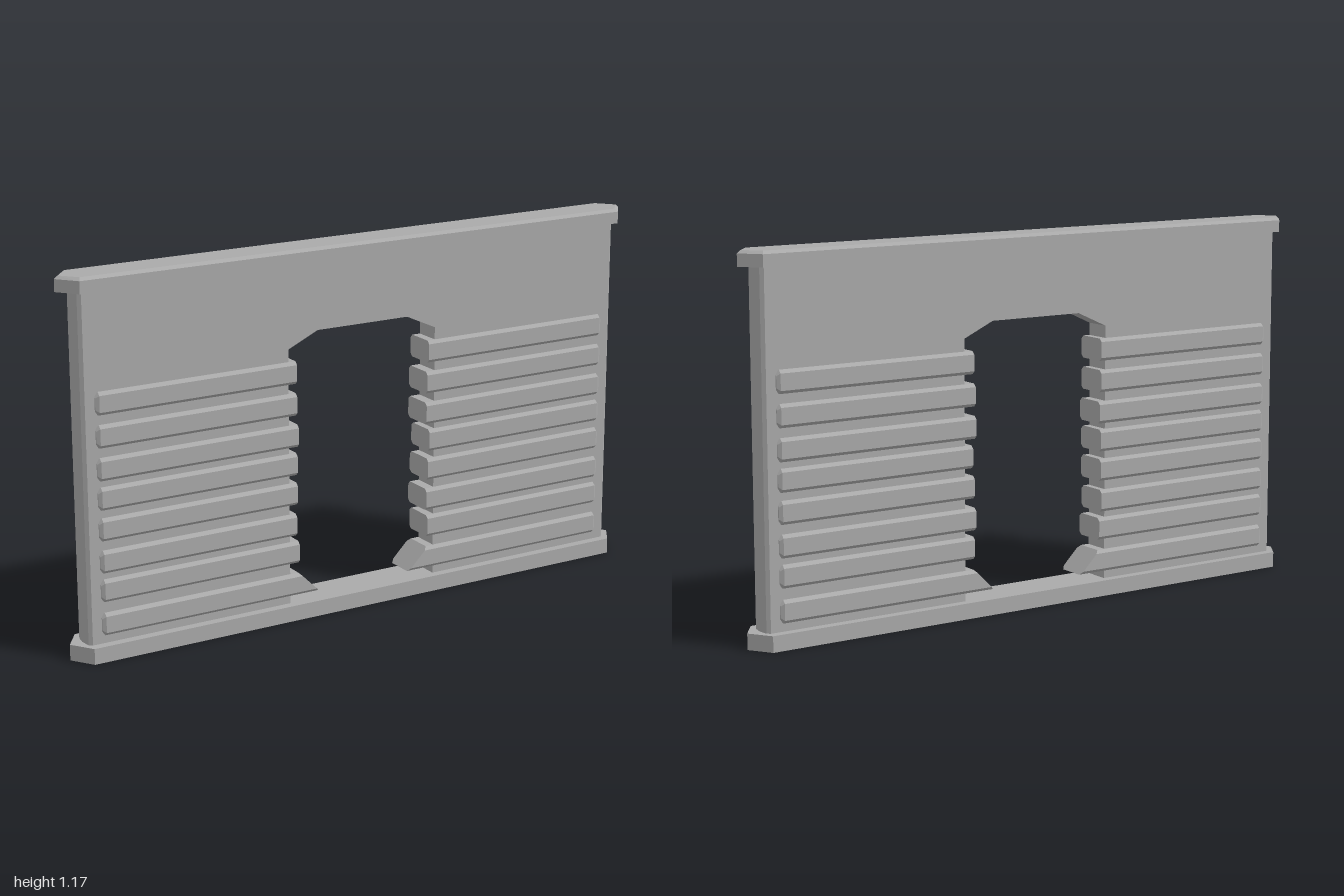
import * as THREE from 'three';

// Closed flat-faced solid through convex rings of [x, y, z] points
function loft(rings) {
  const tris = [];
  const n = rings[0].length;
  for (let r = 0; r < rings.length - 1; r++) {
    for (let i = 0; i < n; i++) {
      const j = (i + 1) % n;
      const a = rings[r][i], b = rings[r][j], c = rings[r + 1][j], d = rings[r + 1][i];
      tris.push([a, b, c], [a, c, d]);
    }
  }
  const first = rings[0], last = rings[rings.length - 1];
  for (let i = 1; i < n - 1; i++) {
    tris.push([first[0], first[i + 1], first[i]], [last[0], last[i], last[i + 1]]);
  }
  // Turn the faces outward when the rings run the other way
  let volume = 0;
  const v = tris.map((t) => t.map((p) => new THREE.Vector3(...p)));
  for (const [a, b, c] of v) volume += a.dot(b.clone().cross(c));
  if (volume < 0) tris.forEach((t) => t.reverse());

  const geometry = new THREE.BufferGeometry();
  geometry.setAttribute('position', new THREE.Float32BufferAttribute(tris.flat(2), 3));
  geometry.computeVertexNormals();
  return geometry;
}

// Long hexagon in plan, pointed at both ends
function hexRing(y, tip, flat, depth) {
  return [[tip, y, 0], [flat, y, depth], [-flat, y, depth], [-tip, y, 0], [-flat, y, -depth], [flat, y, -depth]];
}

// Plank section with chamfered corners; xAt gives the end position for each height
function plankRing(xAt, y0, y1, depth, inset) {
  const b = 0.01;
  const lo = y0 + inset, hi = y1 - inset, d = depth - inset;
  return [
    [lo, d - b], [lo + b, d], [hi - b, d], [hi, d - b],
    [hi, b - d], [hi - b, -d], [lo + b, -d], [lo, b - d],
  ].map(([y, z]) => [xAt(y), y, z]);
}

export function createModel() {
  const model = new THREE.Group();
  const grey = new THREE.MeshStandardMaterial({ color: 0xaaaaaa });
  grey.name = 'stone grey';

  const add = (name, geometry, parent = model) => {
    const mesh = new THREE.Mesh(geometry, grey);
    mesh.name = name;
    parent.add(mesh);
    return mesh;
  };

  const baseTop = 0.05, wallTop = 1.125, wallDepth = 0.042, wallX = 0.937;

  // Base sill and top rail
  add('baseSill', loft([hexRing(0, 0.993, 0.945, 0.07), hexRing(baseTop, 0.993, 0.945, 0.07)]));
  add('topRail', loft([
    hexRing(wallTop, 1, 0.95, 0.063),
    hexRing(1.163, 1, 0.95, 0.063),
    hexRing(1.172, 0.988, 0.944, 0.053),
  ]));

  // Wall panel with the doorway cut out of its lower edge
  const outline = new THREE.Shape([
    [-wallX, baseTop], [-0.263, baseTop], [-0.263, 0.865], [-0.16, 0.912],
    [0.16, 0.912], [0.263, 0.865], [0.263, baseTop], [wallX, baseTop],
    [wallX, wallTop], [-wallX, wallTop],
  ].map(([x, y]) => new THREE.Vector2(x, y)));
  const panel = new THREE.ExtrudeGeometry(outline, { depth: wallDepth * 2, bevelEnabled: false });
  panel.translate(0, 0, -wallDepth);
  add('wallPanel', panel);

  // Chamfered vertical edges and the planks, on both sides
  const plankBottoms = [0.075, 0.18, 0.27, 0.37, 0.465, 0.555, 0.655, 0.755];
  const innerEnds = {
    '-1': [0.235, 0.235, 0.243, 0.24, 0.24, 0.235, 0.24, 0.24],
    '1': [0.235, 0.235, 0.23, 0.235, 0.24, 0.228, 0.23, 0.235],
  };
  for (const side of [-1, 1]) {
    const prefix = side > 0 ? 'left' : 'right';
    const edgeRing = (y) => [
      [wallX, y, wallDepth], [0.947, y, 0.033], [0.952, y, 0],
      [0.947, y, -0.033], [wallX, y, -wallDepth],
    ].map(([x, h, z]) => [x * side, h, z]);
    add(prefix + 'WallEdge', loft([edgeRing(baseTop), edgeRing(wallTop)]));

    const planks = new THREE.Group();
    planks.name = prefix + 'Planks';
    model.add(planks);
    plankBottoms.forEach((y0, i) => {
      const y1 = y0 + 0.071;
      const inner = innerEnds[side][i];
      // The lowest plank has a slanted end
      const innerX = (y) => side * (i === 0 ? inner - (y1 - y) : inner);
      add('plank', loft([
        plankRing(() => side * 0.906, y0, y1, 0.054, 0.008),
        plankRing(() => side * 0.896, y0, y1, 0.054, 0),
        plankRing(innerX, y0, y1, 0.054, 0),
      ]), planks);
    });
  }
  return model;
}
